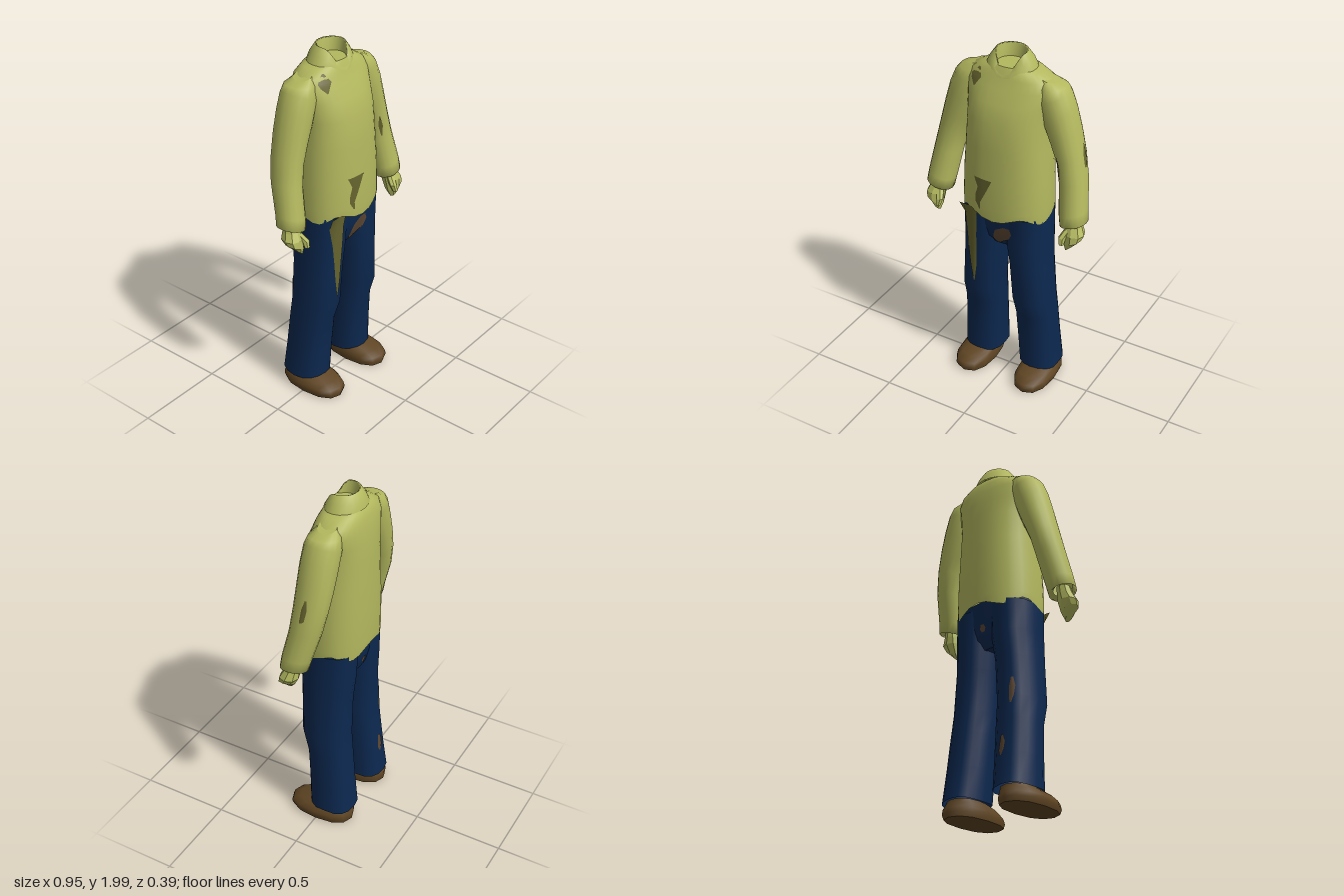
import * as THREE from 'three';

const mat = (name, color, side = THREE.FrontSide) => {
  const m = new THREE.MeshStandardMaterial({ color, side });
  m.name = name;
  return m;
};

// Stacked rings, bottom to top: [x, y, z, radiusX, radiusZ, tiltX, jag, frontDip]
function loft(rings, { sides = 20, power = 0.85, capTop = true, capBottom = false, faceted = false } = {}) {
  const pos = [], idx = [];
  const addRing = ([x, y, z, rx, rz, tilt = 0, jag = 0, dip = 0]) => {
    for (let j = 0; j < sides; j++) {
      const t = (j / sides) * Math.PI * 2, c = Math.cos(t), s = Math.sin(t);
      const pow = v => Math.sign(v) * Math.abs(v) ** power;
      pos.push(x + rx * pow(c),
        y + tilt * c + jag * Math.sin(j * 5.3) - dip * Math.max(0, s) ** 3,
        z + rz * pow(s));
    }
  };
  rings.forEach(addRing);
  for (let i = 0; i < rings.length - 1; i++) {
    for (let j = 0; j < sides; j++) {
      const k = (j + 1) % sides, a = i * sides + j, b = i * sides + k;
      idx.push(a, a + sides, b, b, a + sides, b + sides);
    }
  }
  const cap = (ring, top) => {
    const start = pos.length / 3;
    addRing(ring);
    const mid = pos.length / 3;
    pos.push(ring[0], ring[1], ring[2]);
    for (let j = 0; j < sides; j++) {
      const a = start + j, b = start + (j + 1) % sides;
      idx.push(mid, top ? b : a, top ? a : b);
    }
  };
  if (capTop) cap(rings[rings.length - 1], true);
  if (capBottom) cap(rings[0], false);
  let g = new THREE.BufferGeometry();
  g.setAttribute('position', new THREE.Float32BufferAttribute(pos, 3));
  g.setIndex(idx);
  if (faceted) g = g.toNonIndexed();
  g.computeVertexNormals();
  return g;
}

// Thin patch laid on a surface. Rows are [y, from, to]; axis 'x' or 'z', sign = side it faces
function drape(rows, targets, axis, sign, lift = 0.004, cols = 5) {
  const ray = new THREE.Raycaster(), pos = [], idx = [];
  const dir = axis === 'z' ? new THREE.Vector3(0, 0, -sign) : new THREE.Vector3(-sign, 0, 0);
  rows.forEach(([y, from, to]) => {
    for (let j = 0; j <= cols; j++) {
      const u = from + (to - from) * j / cols;
      const origin = axis === 'z' ? new THREE.Vector3(u, y, sign * 2) : new THREE.Vector3(sign * 2, y, u);
      ray.set(origin, dir);
      const hit = ray.intersectObjects(targets)[0];
      const p = hit ? hit.point : origin.addScaledVector(dir, 1.85);
      p.addScaledVector(dir, -lift);
      pos.push(p.x, p.y, p.z);
    }
  });
  const flip = (axis === 'z') === (sign > 0);
  for (let i = 0; i < rows.length - 1; i++) {
    for (let j = 0; j < cols; j++) {
      const a = i * (cols + 1) + j, c = a + cols + 1;
      // rows run downward
      if (flip) idx.push(a, c, a + 1, a + 1, c, c + 1);
      else idx.push(a, a + 1, c, a + 1, c + 1, c);
    }
  }
  const g = new THREE.BufferGeometry();
  g.setAttribute('position', new THREE.Float32BufferAttribute(pos, 3));
  g.setIndex(idx);
  g.computeVertexNormals();
  return g;
}

export function createModel() {
  const model = new THREE.Group();
  model.name = 'headlessFigure';
  const shirt = mat('shirt green', 0xb3b85e, THREE.DoubleSide);
  const skin = mat('hand green', 0xb5ba60);
  const denim = mat('trouser blue', 0x0c284f, THREE.DoubleSide);
  const leather = mat('shoe brown', 0x5f4523);
  const torn = mat('torn cloth olive', 0x66642f, THREE.DoubleSide);
  const bare = mat('bare skin brown', 0x5c4733, THREE.DoubleSide);
  const add = (name, geo, material) => {
    const m = new THREE.Mesh(geo, material);
    m.name = name;
    model.add(m);
    m.updateMatrixWorld();
    return m;
  };

  // Shirt body with a ragged hem
  const torso = add('shirtBody', loft([
    [0, 1.11, 0, 0.245, 0.185, 0, 0.02],
    [0, 1.16, 0, 0.247, 0.188],
    [0, 1.32, -0.002, 0.242, 0.187],
    [0, 1.5, -0.005, 0.23, 0.18],
    [0, 1.65, -0.008, 0.222, 0.172],
    [0, 1.75, -0.022, 0.232, 0.153],
    [0, 1.82, -0.035, 0.245, 0.13],
    [0, 1.87, -0.04, 0.225, 0.115],
    [0, 1.905, -0.04, 0.16, 0.1],
    [0, 1.925, -0.035, 0.1, 0.085],
  ], { sides: 32 }), shirt);

  // Collar, high behind and dipping to a V in front
  add('collar', loft([
    [0, 1.915, -0.03, 0.135, 0.11, 0, 0, 0.07],
    [0, 1.955, -0.028, 0.115, 0.1, 0, 0, 0.07],
    [0, 1.995, -0.025, 0.085, 0.078, 0, 0, 0.11],
    [0, 1.99, -0.022, 0.078, 0.07, 0, 0, 0.12],
    [0, 1.9, -0.02, 0.07, 0.06],
  ], { sides: 20, power: 1, capTop: false }), shirt);

  // Trouser seat
  const seat = add('trouserSeat', loft([
    [0, 0.9, 0, 0.1, 0.09],
    [0, 0.95, -0.002, 0.19, 0.125],
    [0, 1.03, -0.002, 0.235, 0.142],
    [0, 1.15, 0, 0.236, 0.15],
  ], { capBottom: true }), denim);

  const legs = {}, sleeves = {};
  for (const s of [1, -1]) {
    const side = s > 0 ? 'left' : 'right';
    const flip = r => { const q = r.slice(); q[0] *= s; if (q[5]) q[5] *= s; return q; };

    sleeves[side] = add(side + 'Sleeve', loft([
      [0.405, 1.16, 0.038, 0.05, 0.05, 0.02],
      [0.403, 1.14, 0.04, 0.073, 0.073, 0.02],
      [0.393, 1.2, 0.03, 0.074, 0.077, 0.02],
      [0.37, 1.36, -0.01, 0.073, 0.084, 0.02],
      [0.345, 1.48, -0.026, 0.07, 0.09, 0.03],
      [0.31, 1.59, -0.032, 0.074, 0.094, 0.05],
      [0.275, 1.69, -0.034, 0.078, 0.096, 0.06],
      [0.238, 1.79, -0.037, 0.083, 0.095, 0.035],
      [0.225, 1.845, -0.04, 0.073, 0.082, 0.005],
      [0.2, 1.88, -0.04, 0.045, 0.05, -0.015],
    ].map(flip), { sides: 16, power: 0.95 }), shirt);

    // Curled hand with a thumb
    add(side + 'Hand', loft([
      [0.405, 1.012, 0.085, 0.022, 0.022, 0.02],
      [0.418, 1.045, 0.075, 0.046, 0.042, 0.02],
      [0.42, 1.09, 0.06, 0.053, 0.052],
      [0.412, 1.13, 0.048, 0.042, 0.042],
      [0.408, 1.17, 0.042, 0.035, 0.035],
    ].map(flip), { sides: 8, capBottom: true, faceted: true }), skin);
    add(side + 'Thumb', loft([
      [0.375, 1.04, 0.12, 0.014, 0.014],
      [0.372, 1.075, 0.107, 0.02, 0.02],
      [0.39, 1.115, 0.07, 0.02, 0.022],
    ].map(flip), { sides: 6, capBottom: true, faceted: true }), skin);

    legs[side] = add(side + 'TrouserLeg', loft([
      [0.176, 0.09, -0.06, 0.115, 0.13, 0, 0.006],
      [0.168, 0.26, -0.046, 0.112, 0.124],
      [0.16, 0.45, -0.03, 0.111, 0.121],
      [0.155, 0.57, -0.006, 0.11, 0.135],
      [0.14, 0.8, -0.002, 0.109, 0.138],
      [0.127, 0.95, -0.004, 0.117, 0.147],
      [0.123, 1.12, -0.003, 0.12, 0.152],
    ].map(flip), { sides: 16 }), denim);

    add(side + 'Shoe', loft([
      [0.19, 0.005, 0.005, 0.1, 0.185],
      [0.192, 0.03, 0.006, 0.108, 0.192],
      [0.192, 0.055, 0.003, 0.105, 0.186],
      [0.188, 0.078, -0.015, 0.095, 0.158],
      [0.182, 0.1, -0.055, 0.08, 0.11],
    ].map(flip), { sides: 12, capBottom: true }), leather);
  }

  // Rips in the shirt
  add('bellyRip', drape([[1.335, -0.11, 0.0], [1.28, -0.085, -0.025], [1.23, -0.1, -0.05],
    [1.19, -0.1, -0.07], [1.15, -0.075, -0.068]], [torso], 'z', 1), torn);
  add('shoulderRip', drape([[1.89, -0.15, -0.14], [1.85, -0.19, -0.12], [1.83, -0.185, -0.135],
    [1.8, -0.16, -0.155]], [torso, sleeves.right], 'z', 1), torn);
  add('leftElbowRip', drape([[1.57, -0.04, -0.03], [1.52, -0.045, -0.015], [1.46, -0.035, -0.01],
    [1.45, -0.02, -0.01]], [sleeves.left], 'x', 1), torn);
  add('leftSleeveRip', drape([[1.5, 0.3, 0.305], [1.44, 0.305, 0.325], [1.38, 0.32, 0.325]],
    [sleeves.left], 'z', 1), torn);

  // Hanging strip of cloth and worn holes in the trousers
  const trousers = [legs.left, legs.right, seat];
  add('hangingCloth', drape([[1.13, -0.215, -0.1], [1.06, -0.2, -0.115], [0.95, -0.185, -0.12],
    [0.84, -0.175, -0.125], [0.73, -0.165, -0.13], [0.62, -0.148, -0.145]], [legs.right], 'z', 1, 0.006), torn);
  add('frontHole', drape([[1.04, 0.04, 0.08], [1.01, -0.01, 0.09], [0.97, -0.025, 0.07],
    [0.94, -0.03, 0.03], [0.91, -0.02, 0.0]], trousers, 'z', 1), bare);
  add('thighHole', drape([[0.67, -0.205, -0.195], [0.62, -0.215, -0.185], [0.57, -0.21, -0.185],
    [0.53, -0.2, -0.19]], [legs.right], 'z', -1), bare);
  add('calfHole', drape([[0.36, -0.165, -0.15], [0.32, -0.18, -0.145], [0.28, -0.175, -0.14],
    [0.25, -0.16, -0.15]], [legs.right], 'z', -1), bare);
  add('seatHole', drape([[1.02, -0.01, 0.01], [1.0, -0.02, 0.02], [0.98, -0.01, 0.01]], trousers, 'z', -1), bare);

  return model;
}
